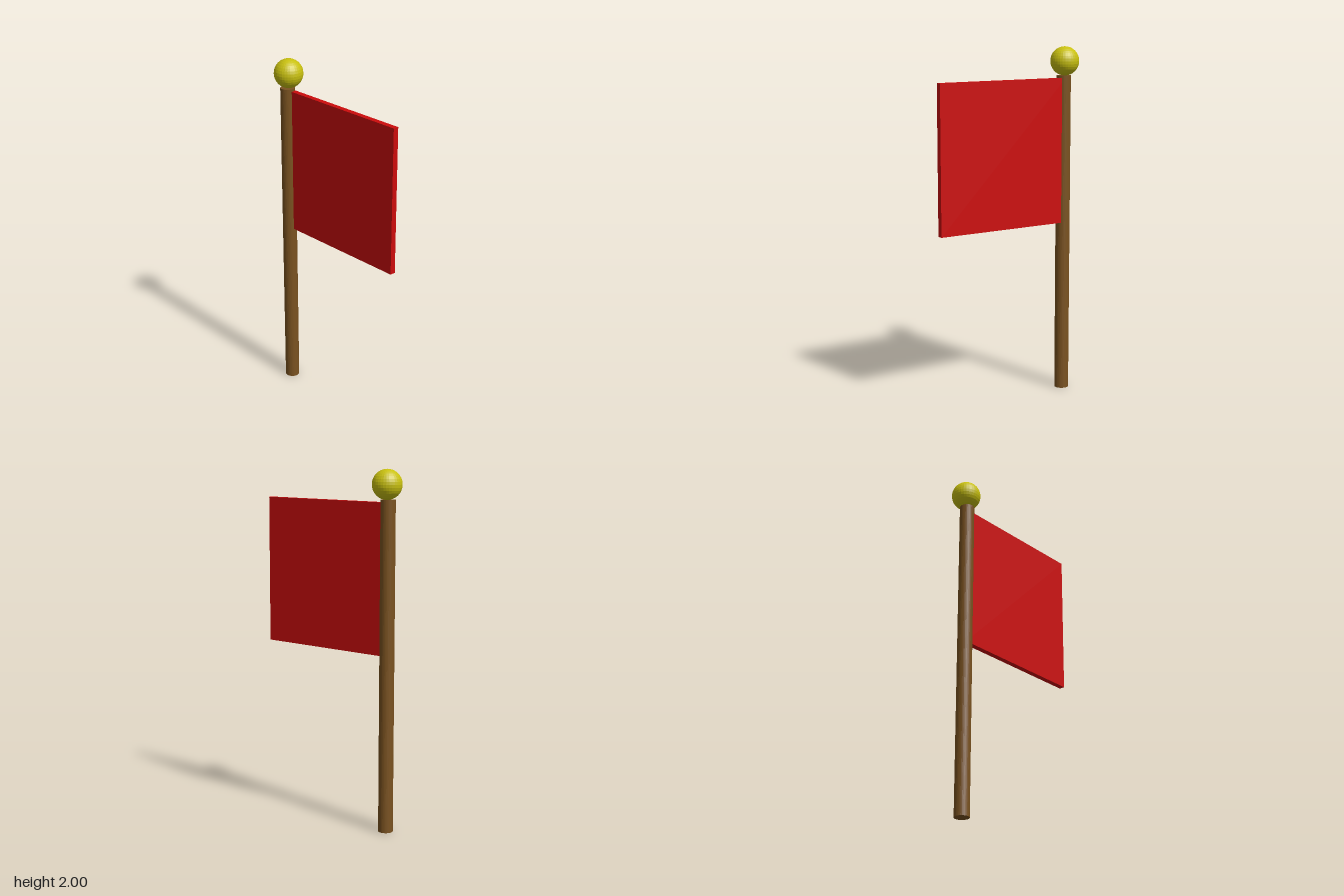
import * as THREE from 'three';

export function createModel() {
  const model = new THREE.Group();
  const poleX = -0.377;

  const add = (name, geometry, color, x, y, z) => {
    const material = new THREE.MeshStandardMaterial({ color, flatShading: true });
    const mesh = new THREE.Mesh(geometry, material);
    mesh.name = name;
    mesh.position.set(x, y, z);
    model.add(mesh);
  };

  // Wooden pole, set slightly forward of the cloth
  const poleHeight = 1.837;
  add('pole', new THREE.CylinderGeometry(0.041, 0.041, poleHeight, 32), 0x7a5220, poleX, poleHeight / 2, 0.009);

  // Ball resting on the pole top
  const ballRadius = 0.082;
  add('finial', new THREE.SphereGeometry(ballRadius, 32, 16), 0xc8c010, poleX, 2 - ballRadius, 0);

  // Stiff square flag, its inner edge buried in the pole
  const flagSize = 0.83;
  add('flag', new THREE.BoxGeometry(flagSize, flagSize, 0.032), 0xcc0c0c, 0.458 - flagSize / 2, 1.408, -0.002);

  return model;
}
